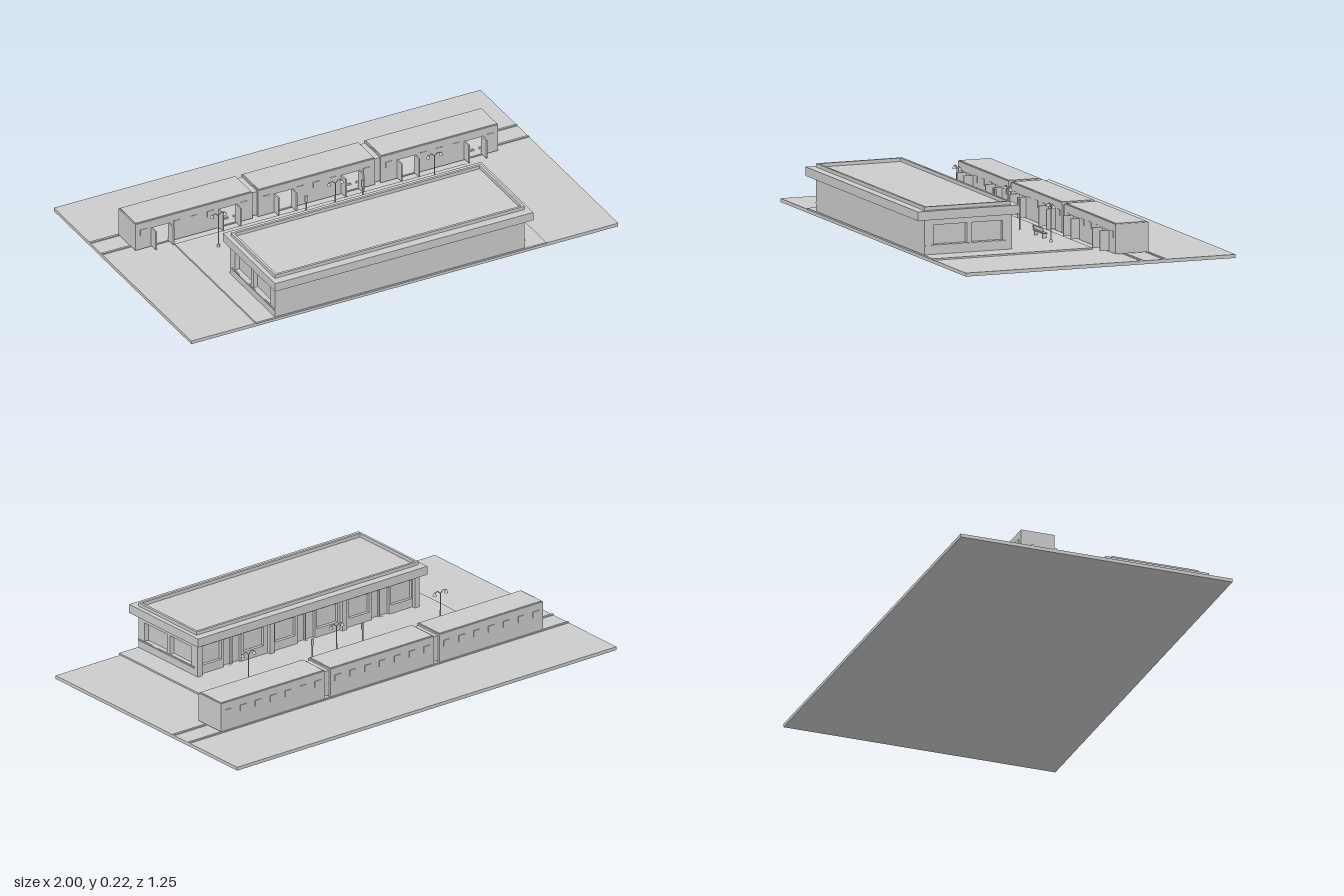
import * as THREE from 'three';

const grey = new THREE.MeshStandardMaterial({ color: 0xcccccc, side: THREE.DoubleSide });

function add(parent, name, geometry) {
  const mesh = new THREE.Mesh(geometry, grey);
  mesh.name = name;
  parent.add(mesh);
  return mesh;
}

// Box given by its limits on each axis
function box(parent, name, x0, x1, y0, y1, z0, z1) {
  const mesh = add(parent, name, new THREE.BoxGeometry(x1 - x0, y1 - y0, z1 - z0));
  mesh.position.set((x0 + x1) / 2, (y0 + y1) / 2, (z0 + z1) / 2);
  return mesh;
}

function group(parent, name) {
  const g = new THREE.Group();
  g.name = name;
  parent.add(g);
  return g;
}

function rectangle(Type, x0, x1, y0, y1) {
  return new Type([[x0, y0], [x1, y0], [x1, y1], [x0, y1]].map(p => new THREE.Vector2(...p)));
}

// Upright wall with rectangular openings, extruded along z
function wall(parent, name, x0, x1, y0, y1, z, depth, holes) {
  const shape = rectangle(THREE.Shape, x0, x1, y0, y1);
  shape.holes = holes.map(h => rectangle(THREE.Path, ...h));
  const mesh = add(parent, name, new THREE.ExtrudeGeometry(shape, { depth, bevelEnabled: false }));
  mesh.position.z = z;
  return mesh;
}

function buildCar(root, x0, x1, doors) {
  const car = group(root, 'railCar');
  const t = 0.006, back = -0.305, front = -0.157;
  box(car, 'carFloor', x0, x1, 0.02, 0.026, back, front);
  box(car, 'carRoof', x0, x1, 0.139, 0.145, back, front);
  box(car, 'carCrown', x0 + 0.005, x1 - 0.005, 0.145, 0.148, back + 0.005, front - 0.005);
  box(car, 'carBackWall', x0, x1, 0.026, 0.139, back, back + t);
  for (const x of [x0, x1 - t]) box(car, 'carEndWall', x, x + t, 0.026, 0.139, back + t, front - t);

  wall(car, 'carFrontWall', x0, x1, 0.026, 0.139, front - t, t,
    doors.map(d => [d - 0.038, d + 0.038, 0.0262, 0.108]));

  // Door leaves swung out beside each opening
  for (const d of doors) for (const s of [-1, 1]) {
    const x = d + s * 0.041;
    box(car, 'doorLeaf', x - 0.003, x + 0.003, 0.024, 0.11, front, -0.118);
  }
  // Small windows on both long sides
  const count = 7, step = (x1 - x0) / count;
  for (let i = 0; i < count; i++) {
    const x = x0 + step * (i + 0.5);
    box(car, 'backWindow', x - 0.016, x + 0.016, 0.085, 0.113, back - 0.003, back);
    if (doors.every(d => Math.abs(d - x) > 0.065))
      box(car, 'frontWindow', x - 0.016, x + 0.016, 0.085, 0.113, front, front + 0.002);
  }
  // Wheels under the body
  for (const x of [x0 + 0.06, x0 + 0.1, x1 - 0.1, x1 - 0.06]) for (const z of [-0.295, -0.197]) {
    const wheel = add(car, 'wheel', new THREE.CylinderGeometry(0.009, 0.009, 0.008, 12));
    wheel.rotation.x = Math.PI / 2;
    wheel.position.set(x, 0.025, z);
  }
}

function buildStation(root) {
  const g = group(root, 'stationBuilding');
  const x0 = -0.61, x1 = 0.56, zb = 0.2, zf = 0.585, base = 0.022, top = 0.17;
  box(g, 'stationCore', x0 + 0.02, x1 - 0.02, base, top, zb + 0.022, zf - 0.002);
  box(g, 'frontWall', x0, x1, base, top, zf - 0.014, zf);

  // Platform side: three bays with windows on each side of a door
  const holes = [], bay = (x1 - x0) / 3;
  for (let i = 0; i < 3; i++) {
    const c = x0 + bay * (i + 0.5);
    holes.push([c - 0.165, c - 0.058, 0.06, 0.145], [c - 0.046, c + 0.046, 0.0222, 0.145],
      [c + 0.058, c + 0.165, 0.06, 0.145]);
    box(g, 'doorMullion', c - 0.003, c + 0.003, base, 0.145, zb + 0.012, zb + 0.022);
  }
  wall(g, 'platformWall', x0, x1, base, top, zb + 0.008, 0.014, holes);
  for (let i = 0; i < 4; i++) {
    const x = x0 + 0.012 + i * (x1 - x0 - 0.024) / 3;
    box(g, 'pier', x - 0.012, x + 0.012, base, top, zb - 0.008, zb + 0.012);
  }

  // Side walls with two wide windows each
  for (const x of [x0, x1 - 0.02]) {
    const side = wall(g, 'sideWall', zb + 0.01, zf - 0.014, base, top, 0, 0.02,
      [[zb + 0.035, 0.375, 0.062, 0.145], [0.395, zf - 0.04, 0.062, 0.145]]);
    side.rotation.y = -Math.PI / 2;
    side.position.set(x + 0.02, 0, 0);
    const outer = x < 0 ? x - 0.004 : x + 0.02;
    box(g, 'sideSill', outer, outer + 0.004, 0.055, 0.061, zb + 0.012, zf);
  }

  // Overhanging roof slab with a thin parapet
  box(g, 'roofSlab', -0.63, 0.58, 0.17, 0.208, 0.165, 0.623);
  const rim = 0.011, y0 = 0.208, y1 = 0.223;
  for (const z of [0.2, zf - rim]) box(g, 'parapet', x0, x1, y0, y1, z, z + rim);
  for (const x of [x0, x1 - rim]) box(g, 'parapet', x, x + rim, y0, y1, 0.2 + rim, zf - rim);
}

function tube(parent, name, points, radius) {
  const curve = new THREE.CatmullRomCurve3(points.map(p => new THREE.Vector3(...p)));
  return add(parent, name, new THREE.TubeGeometry(curve, 12, radius, 6));
}

function buildLamp(root, x) {
  const g = group(root, 'twinLamp');
  g.position.set(x, 0.022, -0.022);
  add(g, 'lampBase', new THREE.CylinderGeometry(0.005, 0.007, 0.012, 10)).position.y = 0.006;
  add(g, 'lampPost', new THREE.CylinderGeometry(0.002, 0.003, 0.15, 8)).position.y = 0.075;
  tube(g, 'lampArm', [[-0.03, 0.155, 0], [-0.015, 0.162, 0], [0, 0.15, 0], [0.015, 0.162, 0], [0.03, 0.155, 0]], 0.0018);
  for (const s of [-1, 1])
    add(g, 'lampShade', new THREE.CylinderGeometry(0.003, 0.009, 0.014, 10)).position.set(s * 0.03, 0.152, 0);
}

function buildBench(root, x) {
  const g = group(root, 'bench');
  box(g, 'benchSeat', x - 0.055, x + 0.055, 0.041, 0.045, -0.043, -0.022);
  box(g, 'benchBack', x - 0.055, x + 0.055, 0.049, 0.064, -0.025, -0.022);
  for (const s of [-1, 1]) {
    box(g, 'benchLeg', x + s * 0.045 - 0.002, x + s * 0.045 + 0.002, 0.022, 0.041, -0.041, -0.024);
    box(g, 'backPost', x + s * 0.045 - 0.002, x + s * 0.045 + 0.002, 0.045, 0.06, -0.024, -0.021);
  }
}

export function createModel() {
  const root = new THREE.Group();
  root.name = 'trainStation';

  // Ground, raised platform and rails
  box(root, 'ground', -1, 1, 0, 0.015, -0.625, 0.582);
  box(root, 'platform', -0.7, 0.66, 0.015, 0.022, -0.125, 0.588);
  for (const z of [-0.305, -0.203]) box(root, 'rail', -1, 1, 0.015, 0.02, z - 0.005, z + 0.005);

  // Three coupled cars
  buildCar(root, -0.868, -0.32, [-0.75, -0.435]);
  buildCar(root, -0.293, 0.255, [-0.174, 0.14]);
  buildCar(root, 0.282, 0.832, [0.402, 0.717]);
  for (const x of [-0.32, 0.255]) box(root, 'gangway', x, x + 0.027, 0.026, 0.138, -0.297, -0.165);

  buildStation(root);

  // Platform furniture
  for (const x of [-0.55, -0.003, 0.462]) buildLamp(root, x);
  for (const x of [-0.275, 0.32]) buildBench(root, x);
  for (let i = 0; i < 5; i++) {
    const x = -0.493 + i * 0.026;
    tube(root, 'bicycleStand', [[x, 0.022, -0.047], [x, 0.048, -0.045], [x, 0.06, -0.03], [x, 0.048, -0.015], [x, 0.022, -0.013]], 0.0018);
  }
  for (const x of [-0.14, 0.125]) {
    add(root, 'signPost', new THREE.CylinderGeometry(0.003, 0.003, 0.128, 8)).position.set(x, 0.086, -0.022);
    box(root, 'signPlate', x - 0.006, x + 0.006, 0.12, 0.15, -0.025, -0.019);
  }
  return root;
}
